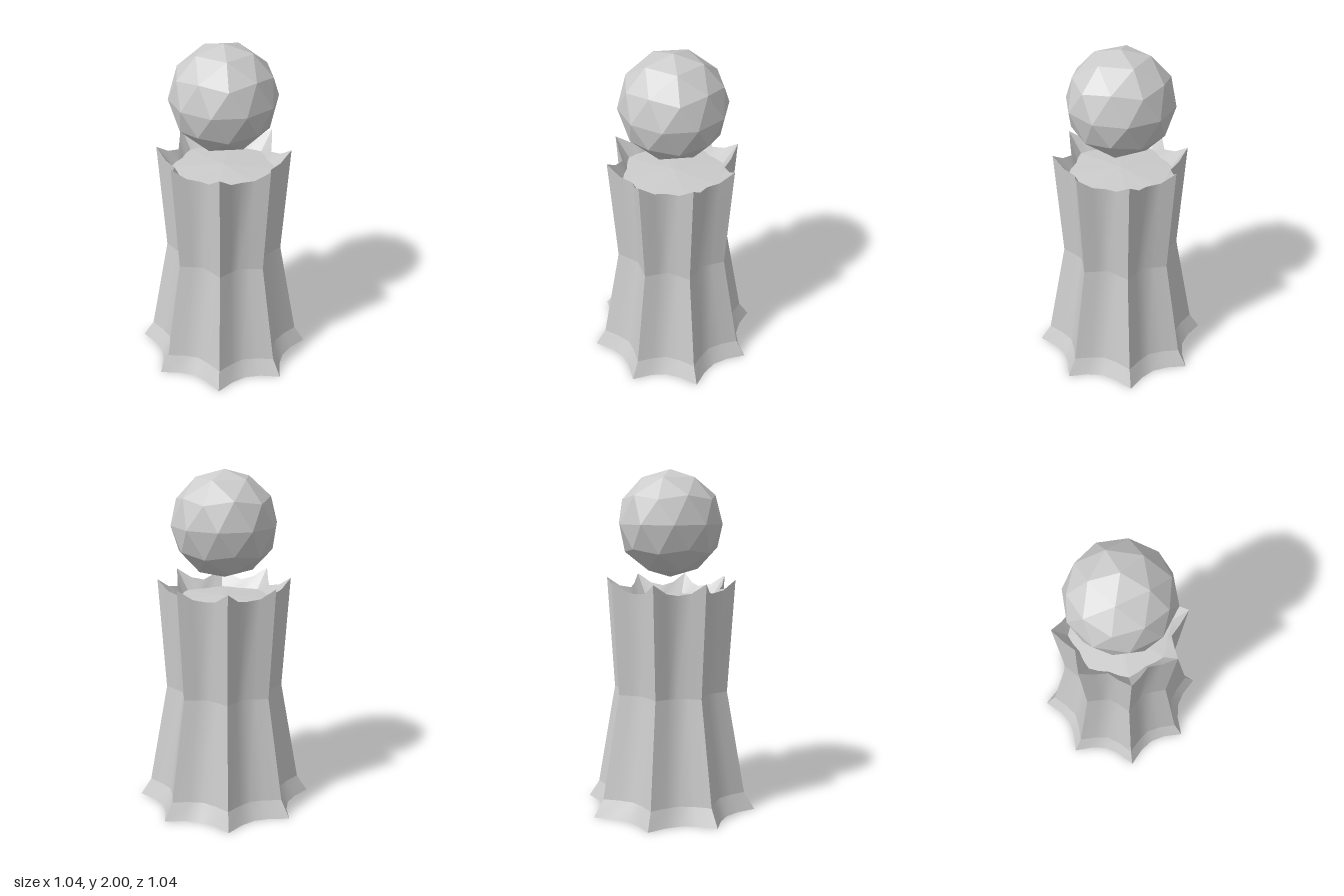
import * as THREE from 'three';

const LOBES = 8;
const STEP = (Math.PI * 2) / LOBES;
// Angles of one scallop, from star point to star point
const ANGLES = [0, 10.5, 22.5, 34.5, 45].map(THREE.MathUtils.degToRad);
const mirror = ([tip, side, mid]) => [tip, side, mid, side, tip];

// A level of the star: radii and heights at point, flank and valley
const level = (radii, heights) => ({ r: mirror(radii), y: mirror(heights) });
const flat = (radii, y) => level(radii, [y, y, y]);

// Ruled band between two levels; each scallop is smooth, its edges stay sharp
function starBand(name, lower, upper, material) {
  const group = new THREE.Group();
  group.name = name;
  const n = ANGLES.length;
  const positions = [];
  for (const l of [lower, upper]) {
    ANGLES.forEach((a, i) => positions.push(l.r[i] * Math.sin(a), l.y[i], l.r[i] * Math.cos(a)));
  }
  const index = [];
  for (let i = 0; i < n - 1; i++) {
    index.push(i, i + 1, n + i + 1, i, n + i + 1, n + i);
  }
  const geometry = new THREE.BufferGeometry();
  geometry.setAttribute('position', new THREE.Float32BufferAttribute(positions, 3));
  geometry.setIndex(index);
  geometry.computeVertexNormals();
  for (let k = 0; k < LOBES; k++) {
    const scallop = new THREE.Mesh(geometry, material);
    scallop.name = name + 'Scallop';
    scallop.rotation.y = k * STEP;
    group.add(scallop);
  }
  return group;
}

export function createModel() {
  const model = new THREE.Group();
  model.name = 'starColumnWithBall';
  const grey = new THREE.MeshStandardMaterial({ color: 0xcccccc, side: THREE.DoubleSide });

  // Star-shaped column, flared at the foot and crowned by raised points
  const base = flat([0.518, 0.44, 0.413], 0);
  const foot = flat([0.455, 0.39, 0.362], 0.1);
  const waist = flat([0.345, 0.298, 0.272], 0.71);
  const rim = level([0.388, 0.333, 0.295], [1.37, 1.315, 1.3]);
  model.add(
    starBand('footFlare', base, foot, grey),
    starBand('lowerColumn', foot, waist, grey),
    starBand('upperColumn', waist, rim, grey)
  );

  // Flat underside
  const outlineLevel = starBand; // shared scallop layout
  const centre = flat([0, 0, 0], 0);
  model.add(outlineLevel('underside', centre, base, grey));

  // Shallow cup inside the crown, with a gently domed floor
  const cup = flat([0.3, 0.285, 0.27], 1.25);
  const floorCentre = flat([0, 0, 0], 1.27);
  model.add(
    starBand('crownInside', rim, cup, grey),
    starBand('cupFloor', cup, floorCentre, grey)
  );

  // Faceted ball with a corner pointing straight up
  const ballGeometry = new THREE.IcosahedronGeometry(0.31, 1);
  ballGeometry.rotateZ(Math.atan(2 / (1 + Math.sqrt(5))));
  const ball = new THREE.Mesh(
    ballGeometry,
    new THREE.MeshStandardMaterial({ color: 0xcccccc, flatShading: true })
  );
  ball.name = 'ball';
  ball.position.y = 1.69;
  model.add(ball);

  return model;
}
